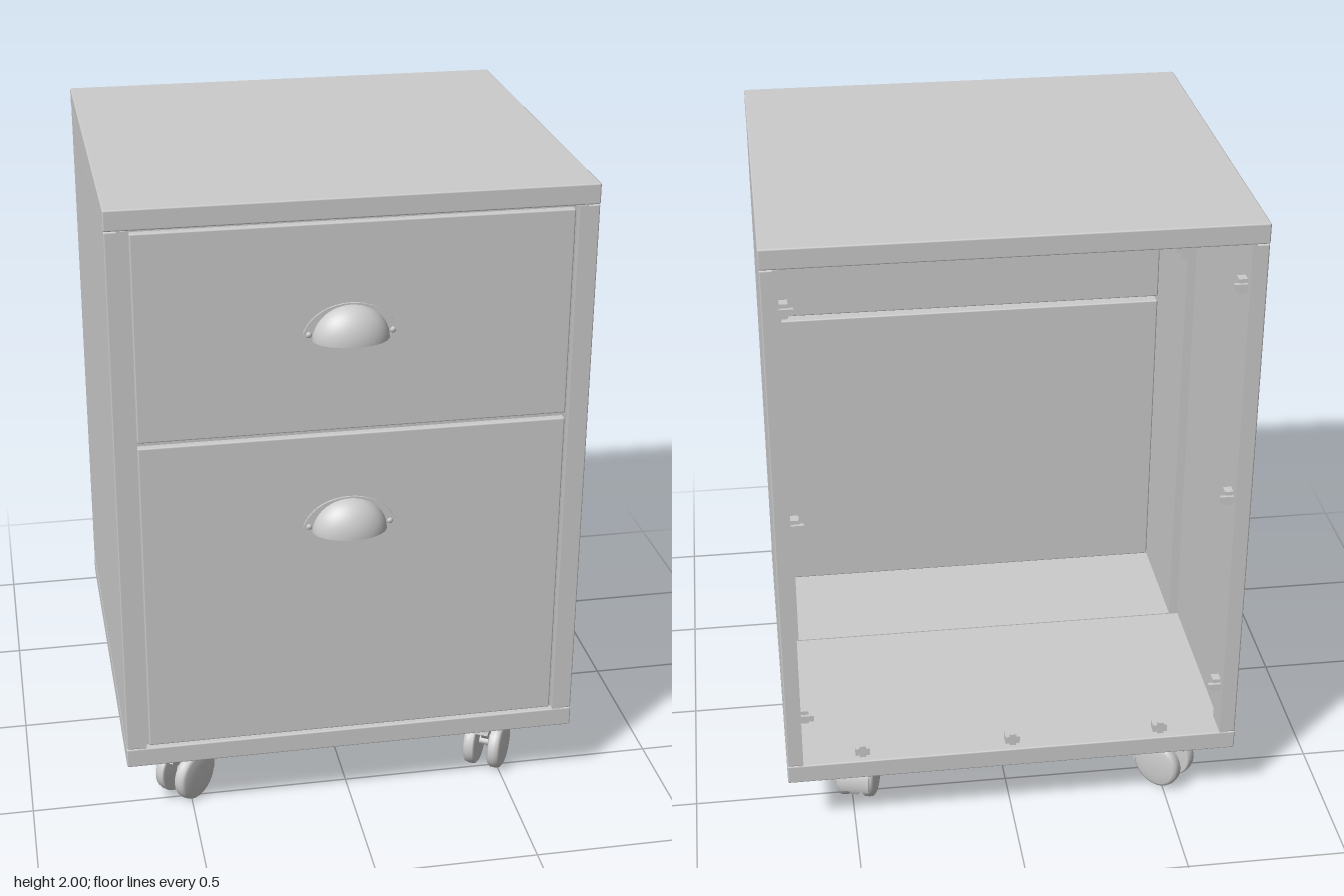
import * as THREE from 'three';
import { RoundedBoxGeometry } from 'three/addons/geometries/RoundedBoxGeometry.js';

const grey = new THREE.MeshStandardMaterial({ color: 0xcccccc });
grey.name = 'light grey';
const greyShell = new THREE.MeshStandardMaterial({ color: 0xcccccc, side: THREE.DoubleSide });
greyShell.name = 'light grey shell';

function add(parent, name, geometry, x = 0, y = 0, z = 0, material = grey) {
  const mesh = new THREE.Mesh(geometry, material);
  mesh.name = name;
  mesh.position.set(x, y, z);
  parent.add(mesh);
  return mesh;
}

// Box given by its limits, with a slight edge rounding when r > 0
function slab(parent, name, x0, x1, y0, y1, z0, z1, r = 0) {
  const size = [x1 - x0, y1 - y0, z1 - z0];
  const geometry = r ? new RoundedBoxGeometry(...size, 1, r) : new THREE.BoxGeometry(...size);
  return add(parent, name, geometry, (x0 + x1) / 2, (y0 + y1) / 2, (z0 + z1) / 2);
}

// Cup pull: quarter dome open below, with a thin rim and two screws
function makeHandle(y) {
  const handle = new THREE.Group();
  handle.name = 'cupHandle';
  handle.position.set(-0.015, y, 0.612);
  const dome = add(handle, 'handleCup',
    new THREE.SphereGeometry(1, 32, 12, 0, Math.PI, 0, Math.PI / 2), 0, 0, 0, greyShell);
  dome.scale.set(0.113, 0.104, 0.078);

  const rim = new THREE.Shape();
  rim.moveTo(-0.125, 0);
  rim.quadraticCurveTo(-0.145, 0.008, -0.136, 0.03);
  rim.bezierCurveTo(-0.09, 0.135, 0.09, 0.135, 0.136, 0.03);
  rim.quadraticCurveTo(0.145, 0.008, 0.125, 0);
  rim.lineTo(0.105, 0);
  rim.bezierCurveTo(0.09, 0.12, -0.09, 0.12, -0.105, 0);
  add(handle, 'handleRim', new THREE.ExtrudeGeometry(rim,
    { depth: 0.006, bevelEnabled: false, curveSegments: 16 }));
  for (const s of [-1, 1]) {
    const screw = add(handle, 'handleScrew', new THREE.SphereGeometry(0.009, 12, 8), s * 0.122, 0.02, 0.007);
    screw.scale.z = 0.6;
  }
  return handle;
}

// Twin-wheel swivel caster; the wheels trail behind the stem along local +z
function makeCaster(x, z, yaw) {
  const caster = new THREE.Group();
  caster.name = 'caster';
  caster.position.set(x, 0, z);
  caster.rotation.y = yaw;
  add(caster, 'casterPlate', new THREE.CylinderGeometry(0.019, 0.019, 0.014, 20), 0, 0.198, 0);
  add(caster, 'casterStem', new THREE.CylinderGeometry(0.01, 0.01, 0.06, 16), 0, 0.175, 0);
  add(caster, 'casterCollar', new THREE.CylinderGeometry(0.018, 0.021, 0.05, 16), 0, 0.158, 0);

  const trail = 0.034, hub = 0.085;
  const profile = [[0, -0.022], [0.074, -0.022], [0.08, -0.016], [0.081, 0], [0.078, 0.012],
    [0.068, 0.018], [0.035, 0.021], [0, 0.022]].map(p => new THREE.Vector2(...p));
  for (const s of [-1, 1]) {
    const wheel = add(caster, 'casterWheel', new THREE.LatheGeometry(profile, 32), s * 0.043, hub, trail);
    wheel.rotation.z = -s * Math.PI / 2;
  }
  const axle = add(caster, 'casterAxle', new THREE.CylinderGeometry(0.014, 0.014, 0.08, 12), 0, hub, trail);
  axle.rotation.z = Math.PI / 2;

  // Hood: curved cover over the wheels, plus a web between them
  const arc = (outer, inner, from, to) => {
    const shape = new THREE.Shape();
    shape.absarc(0, 0, outer, from, to, false);
    shape.absarc(0, 0, inner, to, from, true);
    return shape;
  };
  const extrude = (name, shape, width) => {
    const geometry = new THREE.ExtrudeGeometry(shape, { depth: width, bevelEnabled: false, curveSegments: 20 });
    geometry.translate(0, 0, -width / 2);
    geometry.rotateY(Math.PI / 2);
    add(caster, name, geometry, 0, hub, trail);
  };
  extrude('casterHood', arc(0.091, 0.083, -0.2, 1.7), 0.095);
  extrude('casterWeb', arc(0.088, 0.012, -0.4, 2.2), 0.028);

  // Brake lever
  const lever = add(caster, 'brakeLever', new THREE.BoxGeometry(0.05, 0.01, 0.05), 0, 0.156, trail + 0.06);
  lever.rotation.x = -0.25;
  return caster;
}

export function createModel() {
  const model = new THREE.Group();
  model.name = 'mobileFileCabinet';
  const front = 0.613, back = -0.69, r = 0.005;
  const floor = 0.268, ceiling = 1.938, step = -0.01;

  // Carcass, open at the back; the walls are thicker towards the front
  slab(model, 'topPanel', -0.706, 0.706, ceiling, 2, back, front, r);
  slab(model, 'basePanel', -0.706, 0.706, 0.205, floor, back, front, r);
  for (const s of [-1, 1]) {
    const x = (a, b) => [Math.min(s * a, s * b), Math.max(s * a, s * b)];
    slab(model, 'sidePanel', ...x(0.665, 0.705), floor, ceiling, back, front, r);
    slab(model, 'sideFrontEdge', ...x(0.645, 0.67), floor, ceiling, 0.55, front);
    slab(model, 'sideBackEdge', ...x(0.656, 0.67), floor, ceiling, back, -0.6);
    slab(model, 'sideLining', ...x(0.637, 0.67), floor, ceiling, step, 0.59);
  }
  slab(model, 'innerFloor', -0.637, 0.637, floor - 0.001, floor + 0.003, step, 0.45);
  slab(model, 'innerCeiling', -0.637, 0.637, ceiling - 0.003, ceiling + 0.001, step, 0.45);

  // Drawers with a narrow gap between them, closed inside by a backing
  slab(model, 'lowerDrawer', -0.635, 0.635, 0.276, 1.28, 0.373, 0.611, r);
  slab(model, 'upperDrawer', -0.635, 0.635, 1.296, 1.928, 0.373, 0.611, r);
  slab(model, 'frontBacking', -0.64, 0.64, floor + 0.001, ceiling - 0.001, 0.45, 0.59);
  model.add(makeHandle(1.581), makeHandle(0.97));

  // Clips around the back opening
  const clip = (x, y, angle) => {
    const group = new THREE.Group();
    group.name = 'backClip';
    group.position.set(x, y, -0.645);
    group.rotation.z = angle;
    add(group, 'clipBlock', new THREE.BoxGeometry(0.045, 0.025, 0.03), 0, 0.0125, 0);
    add(group, 'clipTab', new THREE.BoxGeometry(0.02, 0.04, 0.012), 0, 0.02, -0.018);
    model.add(group);
  };
  for (const x of [-0.47, 0, 0.47]) {
    clip(x, floor, 0);
    clip(x, ceiling, Math.PI);
  }
  for (const y of [0.43, 1.11, 1.8]) {
    clip(0.656, y, Math.PI / 2);
    clip(-0.656, y, -Math.PI / 2);
  }

  // Casters, each swivelled differently
  const deg = Math.PI / 180;
  model.add(
    makeCaster(-0.49, 0.45, -47 * deg),
    makeCaster(0.488, 0.45, -30 * deg),
    makeCaster(0.485, -0.53, -15 * deg),
    makeCaster(-0.49, -0.53, -135 * deg));
  return model;
}
